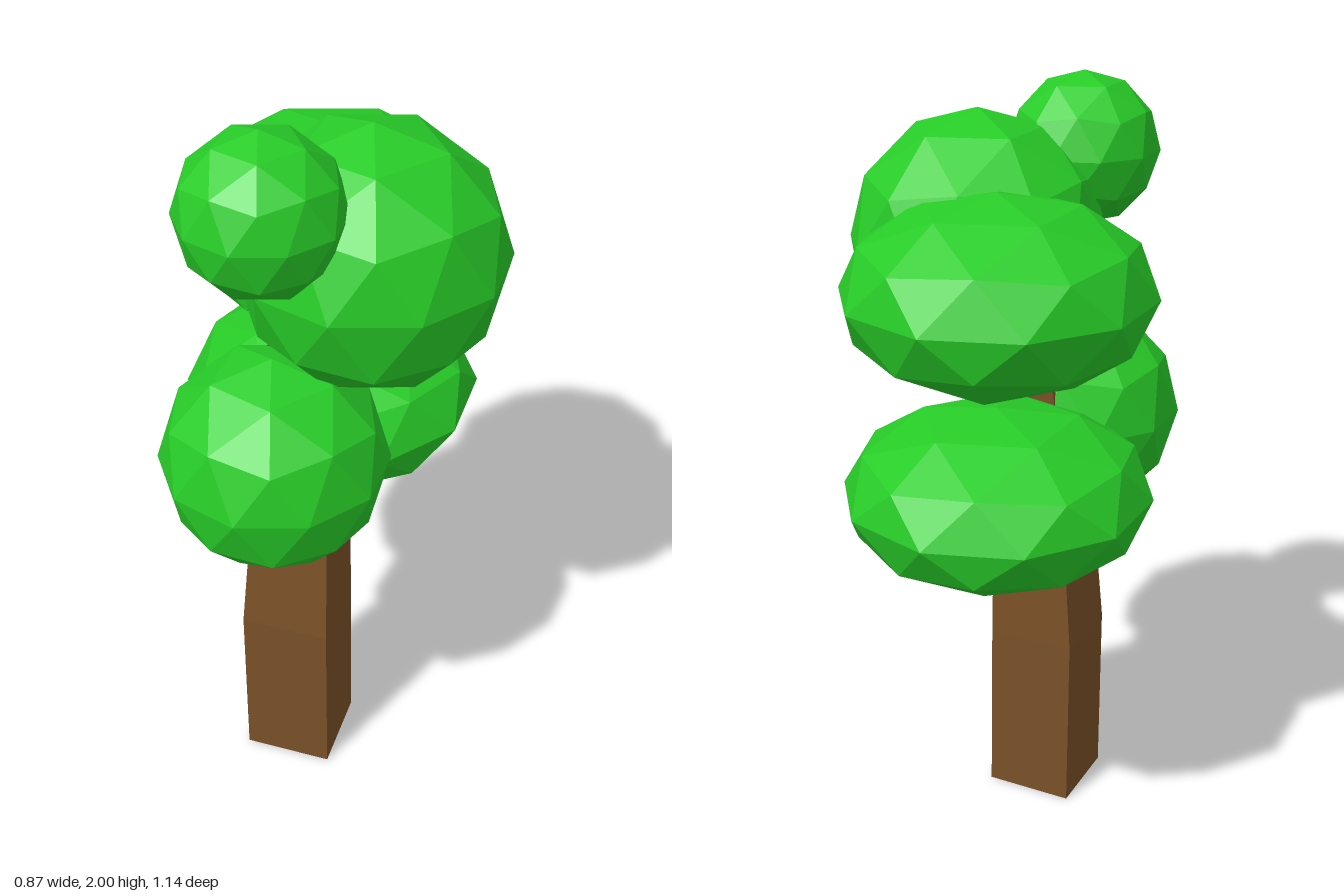
import * as THREE from 'three';

const leafGreen = new THREE.MeshStandardMaterial({ color: 0x28cc28 });
leafGreen.name = 'leafGreen';
const barkBrown = new THREE.MeshStandardMaterial({ color: 0x7b5128 });
barkBrown.name = 'barkBrown';

// Faceted ball with a corner at each pole, stretched to the given radii
function foliage(name, center, radii) {
  const geometry = new THREE.IcosahedronGeometry(1, 1);
  geometry.rotateX(-Math.atan((1 + Math.sqrt(5)) / 2));
  geometry.rotateY(Math.PI / 2);
  geometry.scale(...radii);
  geometry.computeVertexNormals();
  const mesh = new THREE.Mesh(geometry, leafGreen);
  mesh.name = name;
  mesh.position.set(...center);
  return mesh;
}

// Square trunk lofted through rectangles [y, x0, x1, z0, z1]
function trunk(sections) {
  const rings = sections.map(([y, x0, x1, z0, z1]) =>
    [[x0, y, z1], [x1, y, z1], [x1, y, z0], [x0, y, z0]]);
  const positions = [];
  const quad = (a, b, c, d) => positions.push(...a, ...b, ...c, ...a, ...c, ...d);
  for (let s = 0; s < rings.length - 1; s++) {
    for (let i = 0; i < 4; i++) {
      const j = (i + 1) % 4;
      quad(rings[s][i], rings[s][j], rings[s + 1][j], rings[s + 1][i]);
    }
  }
  quad(...rings[rings.length - 1]);
  quad(...[...rings[0]].reverse());
  const geometry = new THREE.BufferGeometry();
  geometry.setAttribute('position', new THREE.Float32BufferAttribute(positions, 3));
  geometry.computeVertexNormals();
  const mesh = new THREE.Mesh(geometry, barkBrown);
  mesh.name = 'trunk';
  return mesh;
}

export function createModel() {
  const tree = new THREE.Group();
  tree.name = 'tree';
  tree.add(
    trunk([
      [0, -0.175, 0.065, 0.03, 0.26],
      [0.49, -0.175, 0.063, 0.034, 0.26],
      [0.95, -0.142, 0.057, 0.038, 0.228],
      [1.5, -0.1, 0.06, 0.01, 0.16],
    ]),
    foliage('lowerBackFoliage', [-0.06, 1.03, -0.177], [0.394, 0.224, 0.394]),
    foliage('upperBackFoliage', [-0.06, 1.543, -0.172], [0.39, 0.243, 0.39]),
    foliage('lowerFrontFoliage', [-0.062, 1.107, 0.28], [0.288, 0.288, 0.288]),
    foliage('upperSideFoliage', [0.118, 1.597, 0.072], [0.334, 0.334, 0.334]),
    foliage('topFoliage', [-0.062, 1.803, 0.318], [0.199, 0.197, 0.199]),
  );
  return tree;
}
